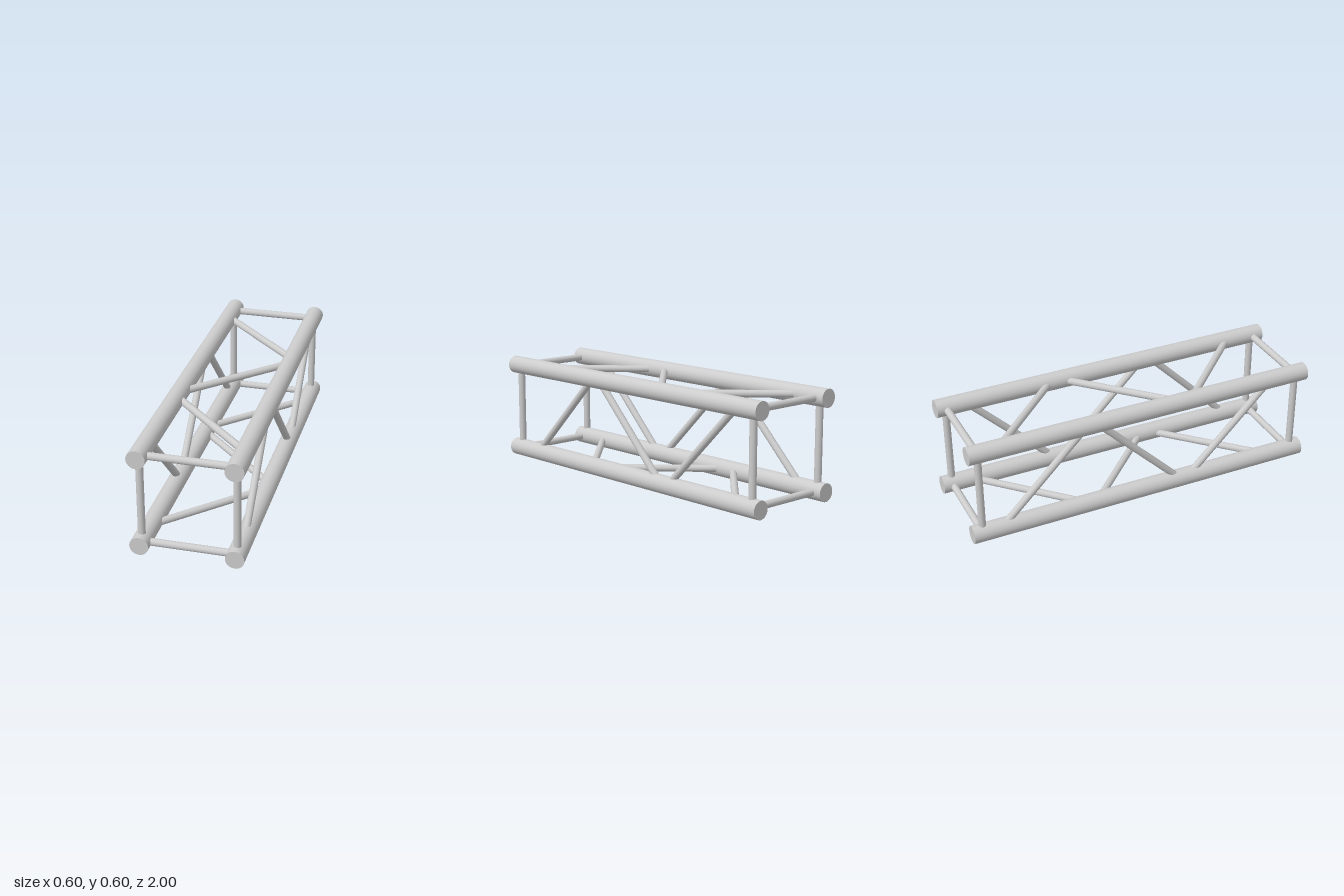
import * as THREE from 'three';

const HALF = 0.25;      // half distance between chord axes
const MID = 0.3;        // height of the truss axis
const CHORD_R = 0.05;
const STRUT_R = 0.02;

export function createModel() {
  const truss = new THREE.Group();
  truss.name = 'boxTruss';
  const metal = new THREE.MeshStandardMaterial({ color: 0xcccccc });
  const up = new THREE.Vector3(0, 1, 0);

  // Round tube between two points
  function tube(name, a, b, radius, sides) {
    const dir = b.clone().sub(a);
    const mesh = new THREE.Mesh(new THREE.CylinderGeometry(radius, radius, dir.length(), sides), metal);
    mesh.position.copy(a).add(b).multiplyScalar(0.5);
    mesh.quaternion.setFromUnitVectors(up, dir.normalize());
    mesh.name = name;
    truss.add(mesh);
  }

  // Four long chords
  for (const x of [-HALF, HALF]) {
    for (const y of [MID - HALF, MID + HALF]) {
      tube('chord', new THREE.Vector3(x, y, -1), new THREE.Vector3(x, y, 1), CHORD_R, 48);
    }
  }

  // Each face maps (u across the face, z along the truss) to a point;
  // slope is the direction of its first diagonal
  const faces = [
    { name: 'top', slope: 1, at: (u, z) => new THREE.Vector3(u, MID + HALF, z) },
    { name: 'bottom', slope: -1, at: (u, z) => new THREE.Vector3(u, MID - HALF, z) },
    { name: 'left', slope: -1, at: (u, z) => new THREE.Vector3(HALF, MID + u, z) },
    { name: 'right', slope: 1, at: (u, z) => new THREE.Vector3(-HALF, MID + u, z) },
  ];

  for (const { name, slope, at } of faces) {
    // Straight struts closing both ends
    for (const z of [0.942, -0.942]) {
      tube(name + 'EndStrut', at(-HALF, z), at(HALF, z), STRUT_R, 24);
    }
    // Zigzag of three 45 degree diagonals
    [0.535, -0.022, -0.58].forEach((z, i) => {
      const s = slope * (i % 2 ? -1 : 1) * HALF;
      tube(name + 'Diagonal', at(-HALF, z - s), at(HALF, z + s), STRUT_R, 24);
    });
  }

  return truss;
}
